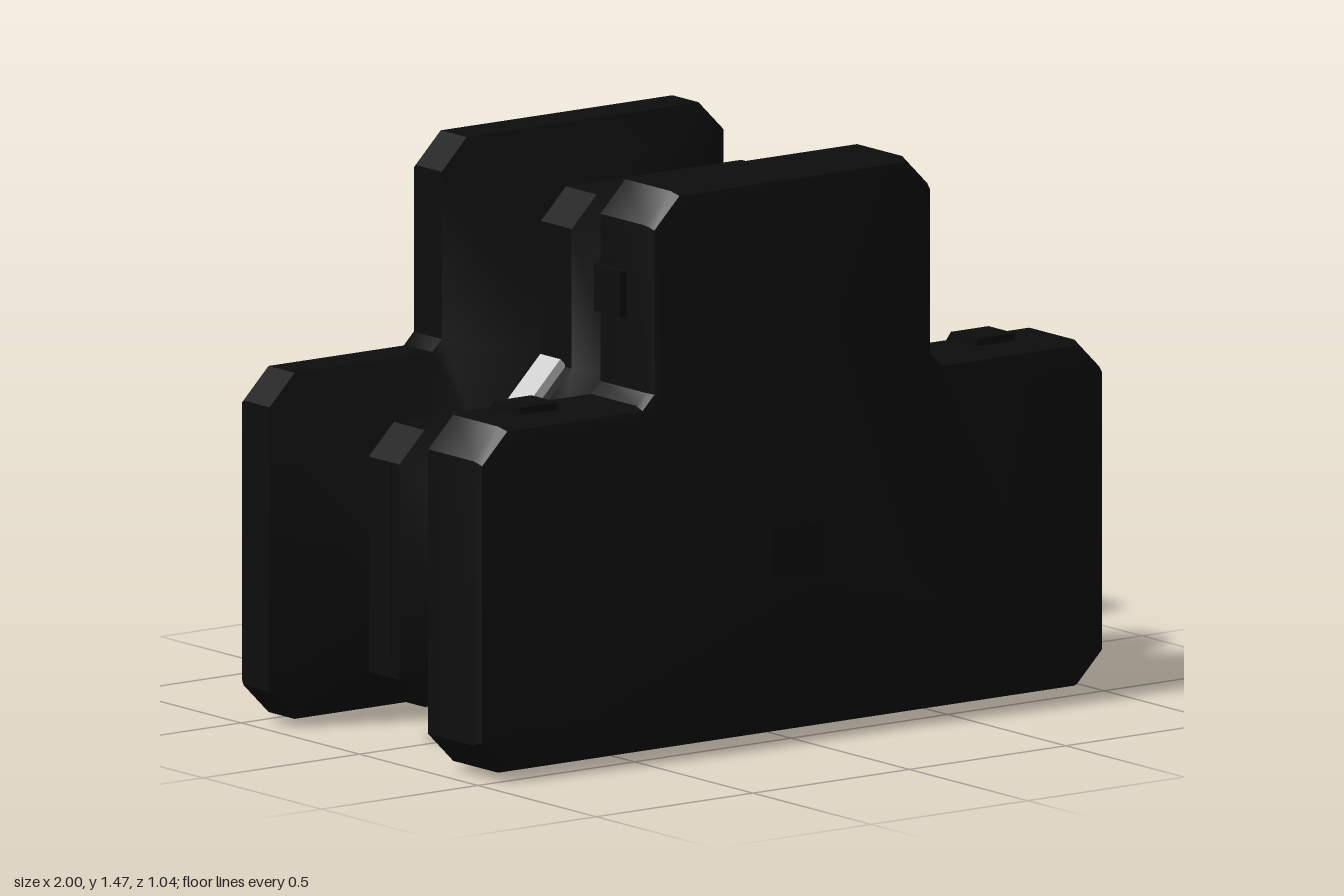
import * as THREE from 'three';
import { toCreasedNormals } from 'three/addons/utils/BufferGeometryUtils.js';

// T-shaped outline shrunk by d, counter-clockwise, with chamfered corners
function outline(d) {
  const c = 0.08, k = 0.03 + 0.8 * d; // outer and inner corner cuts
  const w = 1 - d, n = 0.45 - d, low = 0.025 + d, mid = 0.925 - d, top = 1.47 - d;
  const side = [
    [w - c, low], [w, low + c], [w, mid - c], [w - c, mid],
    [n + k, mid], [n, mid + k], [n, top - c], [n - c, top],
  ];
  return [...side, ...side.slice().reverse().map(([x, y]) => [-x, y])];
}

// Body lofted through [z, inset] rings, closed at both ends
function bodyGeometry(rings) {
  const pos = [], index = [], m = 16;
  for (const [z, d] of rings) for (const [x, y] of outline(d)) pos.push(x, y, z);
  for (let i = 0; i < rings.length - 1; i++) {
    for (let j = 0; j < m; j++) {
      const a = i * m + j, b = i * m + (j + 1) % m;
      index.push(a, a + m, b, b, a + m, b + m);
    }
  }
  const last = (rings.length - 1) * m;
  const flat = outline(0.03).map(([x, y]) => new THREE.Vector2(x, y));
  for (const [a, b, c] of THREE.ShapeUtils.triangulateShape(flat, [])) {
    index.push(a, b, c, last + a, last + c, last + b);
  }
  const geo = new THREE.BufferGeometry();
  geo.setAttribute('position', new THREE.Float32BufferAttribute(pos, 3));
  geo.setIndex(index);
  return toCreasedNormals(geo, 0.55);
}

// Strip with a [z, height] section, extruded along x
function stripGeometry(section, width) {
  const shape = new THREE.Shape(section.map(([z, h]) => new THREE.Vector2(z, h)));
  const geo = new THREE.ExtrudeGeometry(shape, { depth: width, bevelEnabled: false });
  geo.translate(0, 0, -width / 2);
  geo.rotateY(-Math.PI / 2);
  return geo;
}

export function createModel() {
  const model = new THREE.Group();
  const black = new THREE.MeshStandardMaterial({ color: 0x0d0d0d });
  black.name = 'black shell';
  const light = new THREE.MeshStandardMaterial({ color: 0xcccccc });
  light.name = 'light panel';

  function add(name, geo, mat, x, y, z, turn = 0) {
    const mesh = new THREE.Mesh(geo, mat);
    mesh.name = name;
    mesh.position.set(x, y, z);
    mesh.rotation.z = turn;
    model.add(mesh);
    return mesh;
  }

  // Shell with two deep grooves and a central ridge
  add('shell', bodyGeometry([
    [0.515, 0.03], [0.505, 0.01], [0.48, 0], [0.29, 0], [0.15, 0.17], [0.12, 0.17],
    [0.05, 0.09], [-0.08, 0.09], [-0.21, 0.22], [-0.24, 0.22],
    [-0.38, 0], [-0.49, 0], [-0.51, 0.01], [-0.52, 0.03],
  ]), black, 0, 0, 0);

  // Raised tabs folded over the inner edge of the front slab
  const tab = stripGeometry([
    [0.4, -0.01], [0.4, 0.02], [0.29, 0.02], [0.2, -0.09], [0.2, -0.125], [0.29, -0.01],
  ], 0.12);
  // Light panels folded under the central ridge
  const underPanel = stripGeometry([
    [0.1, -0.057], [0.1, -0.047], [0.052, 0.006], [-0.082, 0.006],
    [-0.195, -0.107], [-0.195, -0.117], [-0.08, -0.002], [0.05, -0.002],
  ], 0.38);

  for (const s of [1, -1]) {
    add('shoulderTab', tab, black, s * 0.73, 0.925, 0);
    add('neckTab', tab, black, s * 0.45, 1.2, 0, -s * Math.PI / 2);
    for (const x of [0.3, 0.73]) add('bottomTab', tab, black, s * x, 0.025, 0, Math.PI);
    add('underPanel', underPanel, light, s * 0.225, 0.115, 0, Math.PI);
    // Light block in each inner corner
    add('cornerLight', new THREE.BoxGeometry(0.155, 0.04, 0.085), light,
      s * 0.416, 0.89, -0.02, -s * Math.PI / 4);
    // Thin strip along the ridge ends
    add('ridgeStrip', new THREE.BoxGeometry(0.008, 0.5, 0.07), black, s * 0.91, 0.5, -0.018);
  }

  // Small foot between the under panels
  add('foot', new THREE.BoxGeometry(0.06, 0.04, 0.05), black, 0, 0.105, -0.005);

  // Thin plates on the front and back faces
  add('frontPlate', new THREE.BoxGeometry(0.16, 0.12, 0.008), black, 0, 0.5, 0.515);
  add('backPlate', new THREE.BoxGeometry(0.18, 0.12, 0.008), black, 0, 0.5, -0.52);
  add('upperBackPlate', new THREE.BoxGeometry(0.18, 0.05, 0.008), black, 0, 1.065, -0.52);
  return model;
}
